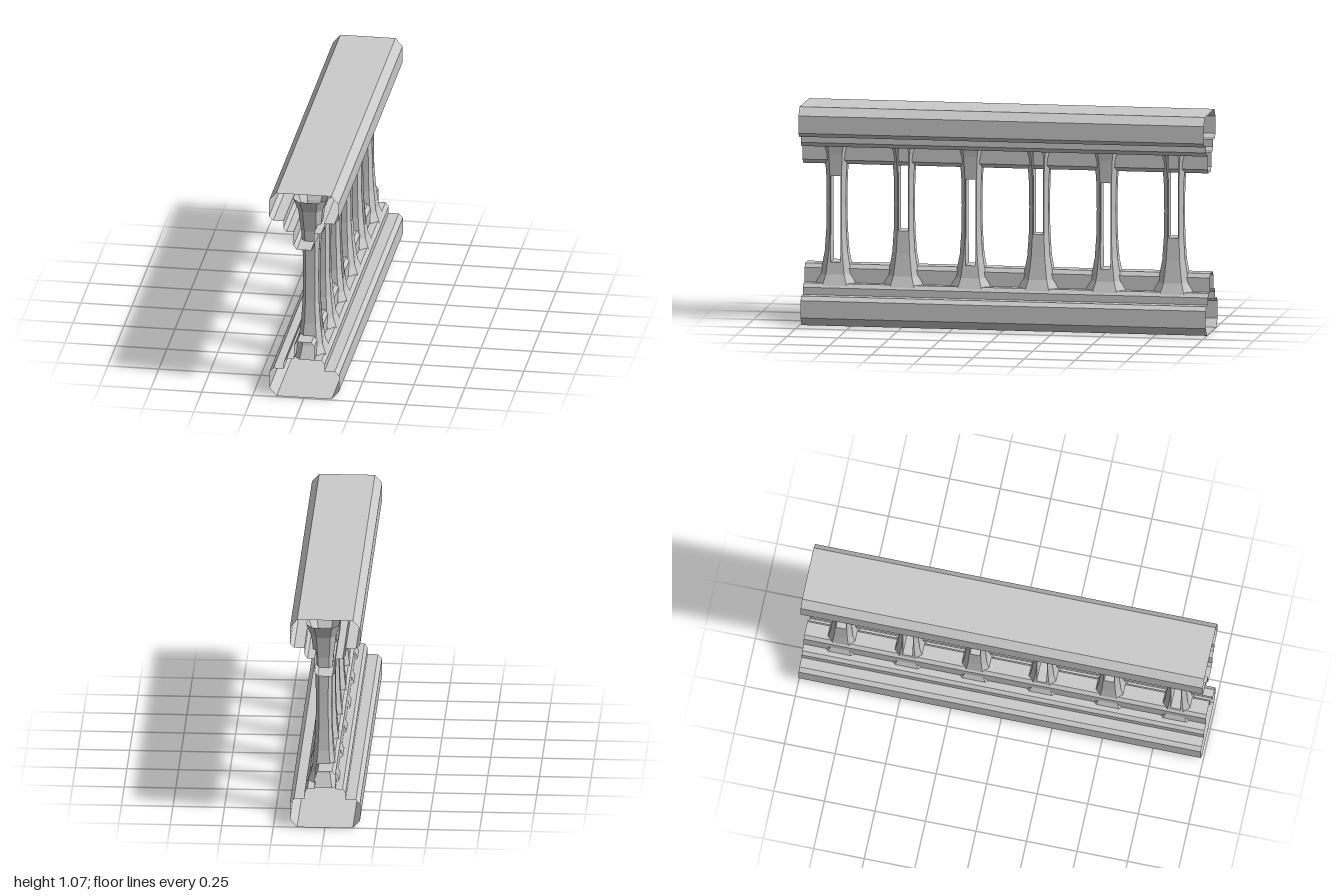
import * as THREE from 'three';

const material = new THREE.MeshStandardMaterial({
  color: 0xcccccc, flatShading: true, side: THREE.DoubleSide,
});

function meshFromPositions(name, positions) {
  const geometry = new THREE.BufferGeometry();
  geometry.setAttribute('position', new THREE.Float32BufferAttribute(positions, 3));
  geometry.computeVertexNormals();
  const mesh = new THREE.Mesh(geometry, material);
  mesh.name = name;
  return mesh;
}

// Two triangles; corners run counter-clockwise seen from outside
const quad = (out, a, b, c, d) => out.push(...a, ...b, ...c, ...a, ...c, ...d);

// Right half of the stepped, chamfered rail section, bottom to top: [x, y]
const railHalf = [
  [0.135, 0], [0.17, 0.04], [0.17, 0.125], [0.15, 0.145], [0.1, 0.145],
  [0.1, 0.18], [0.085, 0.2], [0.05, 0.2], [0.05, 0.27], [0.035, 0.29],
];

// Moulded rail: a hollow shell, open at both ends
function rail(name) {
  const loop = [...railHalf, ...railHalf.map(([x, y]) => [-x, y]).reverse()];
  const out = [];
  loop.forEach(([x, y], i) => {
    const [u, v] = loop[(i + 1) % loop.length];
    quad(out, [x, y, 0.995], [x, y, -0.995], [u, v, -0.995], [u, v, 0.995]);
  });
  return meshFromPositions(name, out);
}

// Flare by distance from mid height: [distance, half x, flat x, half z, flat z]
const flare = [
  [0, 0.038, 0.022, 0.047, 0.027], [0.13, 0.04, 0.023, 0.049, 0.028],
  [0.24, 0.047, 0.027, 0.056, 0.033], [0.29, 0.053, 0.031, 0.065, 0.038],
  [0.35, 0.06, 0.033, 0.076, 0.045], [0.413, 0.083, 0.043, 0.108, 0.062],
];
const SLOT = 0.024, SLOT_LOW = -0.13, SLOT_HIGH = 0.29;

// Eight-sided flared baluster with a tall slot running through it along x
function balusterGeometry() {
  const levels = [
    ...flare.slice(1).reverse().map(([d, ...r]) => [-d, ...r]), ...flare,
  ];
  const rings = levels.map(([y, X, fx, Z, fz]) => [
    [X, -SLOT], [X, SLOT], [X, fz], [fx, Z], [-fx, Z], [-X, fz],
    [-X, SLOT], [-X, -SLOT], [-X, -fz], [-fx, -Z], [fx, -Z], [X, -fz],
  ].map(([x, z]) => [x, y, z]));
  const out = [];
  for (let j = 0; j < rings.length - 1; j++) {
    const lower = rings[j], upper = rings[j + 1];
    const side = (a, b) => quad(out, lower[a], upper[a], upper[b], lower[b]);
    const inSlot = levels[j][0] >= SLOT_LOW && levels[j + 1][0] <= SLOT_HIGH;
    for (let i = 0; i < 12; i++) {
      if (!(inSlot && i % 6 === 0)) side(i, (i + 1) % 12);
    }
    // Slot walls
    if (inSlot) {
      side(6, 1);
      side(0, 7);
    }
  }
  // Slot sill and head
  const low = rings[levels.findIndex((l) => l[0] === SLOT_LOW)];
  const high = rings[levels.findIndex((l) => l[0] === SLOT_HIGH)];
  quad(out, low[0], low[7], low[6], low[1]);
  quad(out, high[0], high[1], high[6], high[7]);
  return meshFromPositions('baluster', out).geometry;
}

export function createModel() {
  const model = new THREE.Group();
  model.name = 'balustrade';

  const bottomRail = rail('bottomRail');
  bottomRail.position.z = -0.005;
  model.add(bottomRail);

  // Handrail is the same section turned upside down
  const topRail = rail('topRail');
  topRail.rotation.x = Math.PI;
  topRail.position.set(0, 1.07, 0.005);
  model.add(topRail);

  // Balusters, every other one upside down
  const geometry = balusterGeometry();
  for (let i = 0; i < 6; i++) {
    const baluster = new THREE.Mesh(geometry, material);
    baluster.name = `baluster${i + 1}`;
    baluster.position.set(0.0135, 0.592, 0.837 - i * 0.3315);
    if (i % 2 === 0) baluster.rotation.x = Math.PI;
    model.add(baluster);
  }
  return model;
}
